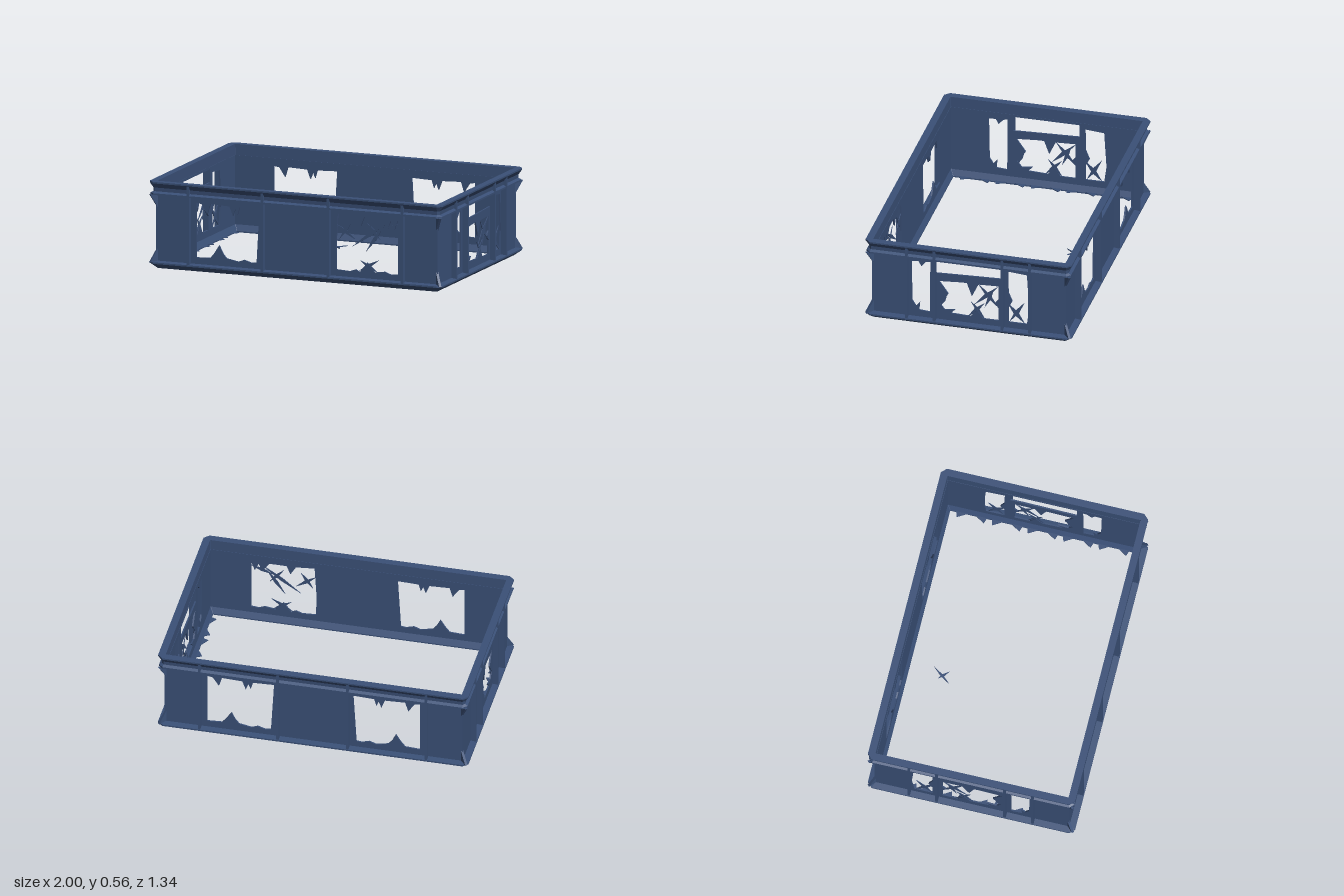
import * as THREE from 'three';

const X = 0.96, Z = 0.63; // half sizes of the wall box

// Rectangular moulding: a closed [offset, y] section swept around chamfered corners
function ringGeometry(profile) {
  const loops = profile.map(([o, y]) => {
    const a = X + o, b = Z + o, c = Math.max(0.002, o * 0.8);
    return [[-a + c, b], [a - c, b], [a, b - c], [a, -b + c],
      [a - c, -b], [-a + c, -b], [-a, -b + c], [-a, b - c]].map(([x, z]) => [x, y, z]);
  });
  const pos = [];
  loops.forEach((lo, j) => {
    const hi = loops[(j + 1) % loops.length];
    for (let i = 0; i < 8; i++) {
      const k = (i + 1) % 8;
      pos.push(...lo[i], ...lo[k], ...hi[k], ...lo[i], ...hi[k], ...hi[i]);
    }
  });
  const g = new THREE.BufferGeometry();
  g.setAttribute('position', new THREE.Float32BufferAttribute(pos, 3));
  g.computeVertexNormals();
  return g;
}

const toPoints = (pts, s) => pts.map(([u, y]) => new THREE.Vector2(u * s, y));

// Thin sliver of glass running from a to b, widest in the middle
function sliver([ax, ay, bx, by, w = 0.012]) {
  const l = Math.hypot(bx - ax, by - ay), px = -(by - ay) / l * w, py = (bx - ax) / l * w;
  const mx = (ax + bx) / 2, my = (ay + by) / 2;
  return [[ax, ay], [mx - px, my - py], [bx, by], [mx + px, my + py]];
}

// Window outlines with jagged edges
const plainWindow = [[-0.685, 0.09], [-0.59, 0.095], [-0.565, 0.125], [-0.53, 0.18], [-0.505, 0.13],
  [-0.48, 0.1], [-0.40, 0.085], [-0.36, 0.1], [-0.31, 0.085], [-0.275, 0.09], [-0.255, 0.44],
  [-0.39, 0.435], [-0.405, 0.385], [-0.42, 0.42], [-0.437, 0.375], [-0.46, 0.435], [-0.59, 0.44],
  [-0.61, 0.375], [-0.65, 0.435], [-0.685, 0.44]];
const crackedWindow = [[0.27, 0.09], [0.36, 0.085], [0.40, 0.1], [0.43, 0.085], [0.48, 0.15], [0.53, 0.09],
  [0.60, 0.1], [0.64, 0.085], [0.69, 0.09], [0.69, 0.44], [0.665, 0.375], [0.64, 0.43], [0.62, 0.375],
  [0.57, 0.44], [0.46, 0.44], [0.436, 0.38], [0.40, 0.44], [0.28, 0.45], [0.268, 0.25]];
const crackedSlivers = [[0.37, 0.24, 0.62, 0.42], [0.47, 0.22, 0.59, 0.39], [0.55, 0.36, 0.69, 0.41],
  [0.27, 0.38, 0.40, 0.29], [0.29, 0.29, 0.37, 0.40], [0.42, 0.09, 0.56, 0.17],
  [0.43, 0.16, 0.55, 0.09], [0.48, 0.40, 0.57, 0.30]];

// End wall openings, in z and y
const endHoles = [
  [[0.375, 0.44], [0.33, 0.445], [0.31, 0.41], [0.28, 0.445], [0.252, 0.45], [0.255, 0.09],
    [0.325, 0.095], [0.32, 0.15], [0.345, 0.12], [0.37, 0.16]],
  [[0.195, 0.32], [0.05, 0.33], [0.015, 0.33], [-0.018, 0.24], [-0.06, 0.33], [-0.19, 0.335],
    [-0.19, 0.24], [-0.165, 0.21], [-0.19, 0.18], [-0.19, 0.09], [-0.09, 0.09], [-0.05, 0.15],
    [-0.01, 0.095], [0.12, 0.1], [0.09, 0.13], [0.16, 0.12], [0.19, 0.16], [0.135, 0.235]],
  [[0.215, 0.375], [-0.215, 0.39], [-0.215, 0.475], [0.215, 0.475]],
  [[-0.252, 0.45], [-0.375, 0.44], [-0.39, 0.2], [-0.375, 0.09], [-0.255, 0.09], [-0.255, 0.19],
    [-0.28, 0.24], [-0.255, 0.3]],
];
const endSlivers = [[-0.03, 0.18, -0.19, 0.33, 0.014], [-0.06, 0.33, -0.19, 0.18, 0.014],
  [-0.10, 0.17, -0.16, 0.31], [0.01, 0.09, -0.10, 0.2, 0.014], [-0.01, 0.2, -0.10, 0.09],
  [0.195, 0.13, 0.14, 0.24], [-0.25, 0.22, -0.36, 0.09, 0.016], [-0.26, 0.09, -0.36, 0.24, 0.014]];

export function createModel() {
  const group = new THREE.Group();
  const blue = new THREE.MeshStandardMaterial({ color: 0x3a5077, side: THREE.DoubleSide });
  blue.name = 'slateBlue';
  blue.flatShading = true;
  const add = (name, geometry, parent = group) => {
    const m = new THREE.Mesh(geometry, blue);
    m.name = name;
    parent.add(m);
    return m;
  };

  // Wall panel with openings, loose slivers and upright fins, turned to face outwards
  function wall(name, half, dist, turn, s, holes, slivers, fins) {
    const side = new THREE.Group();
    side.name = name;
    side.rotation.y = turn;
    group.add(side);
    const shape = new THREE.Shape(toPoints([[-half, 0.03], [half, 0.03], [half, 0.49], [-half, 0.49]], 1));
    for (const h of holes) shape.holes.push(new THREE.Path(toPoints(h, s)));
    add('panel', new THREE.ExtrudeGeometry(shape, { depth: 0.01, bevelEnabled: false }), side)
      .position.z = dist - 0.01;
    if (slivers.length) {
      const shapes = slivers.map(v => new THREE.Shape(toPoints(sliver(v), s)));
      add('brokenGlass', new THREE.ExtrudeGeometry(shapes, { depth: 0.004, bevelEnabled: false }), side)
        .position.z = dist - 0.007;
    }
    for (const f of fins) for (const m of [-1, 1])
      add('fin', new THREE.BoxGeometry(0.016, 0.51, 0.036), side).position.set(f * m, 0.295, dist + 0.018);
  }

  const mirror = w => w.map(([u, y]) => [-u, y]);
  const q = Math.PI / 2;
  wall('frontWall', X, Z, 0, 1, [plainWindow, crackedWindow], crackedSlivers, [0.225, 0.73]);
  wall('backWall', X, Z, Math.PI, -1, [plainWindow, mirror(plainWindow)], [], [0.225, 0.73]);
  wall('leftWall', Z, X, q, -1, endHoles, endSlivers, [0.22, 0.4]);
  wall('rightWall', Z, X, -q, 1, endHoles, endSlivers, [0.22, 0.4]);

  // Coved top rim and sloped base moulding
  add('topRim', ringGeometry([[-0.008, 0.475], [0.034, 0.475], [0.034, 0.486], [0.016, 0.496],
    [0.018, 0.52], [0.04, 0.55], [0.04, 0.56], [-0.006, 0.56]]));
  add('baseMoulding', ringGeometry([[-0.03, 0], [-0.008, 0], [0.04, 0.034], [0.04, 0.044],
    [-0.008, 0.05], [-0.03, 0.008]]));

  // Diagonal gussets at the four corners, under the rim and over the base
  const gussets = [[[-0.01, 0.478], [-0.01, 0.39], [0.045, 0.478]], [[-0.01, 0.04], [0.045, 0.04], [-0.01, 0.13]]]
    .map(p => new THREE.Shape(toPoints(p, 1)));
  const gussetGeometry = new THREE.ExtrudeGeometry(gussets, { depth: 0.016, bevelEnabled: false });
  gussetGeometry.translate(0, 0, -0.008);
  for (const sx of [-1, 1]) for (const sz of [-1, 1]) {
    const g = add('cornerGusset', gussetGeometry);
    g.position.set(sx * X, 0, sz * Z);
    g.rotation.y = Math.atan2(-sz, sx);
  }

  // Jagged floor remains along both ends, and one loose piece on the ground
  const flat = (name, shapes, y) => {
    const g = new THREE.ExtrudeGeometry(shapes, { depth: 0.005, bevelEnabled: false });
    g.rotateX(q);
    add(name, g).position.y = y;
  };
  const teeth = [];
  for (const s of [-1, 1]) for (let i = 0; i < 10; i++) {
    const z = -0.52 + i * 0.115, lean = i % 2 ? 0.03 : -0.03;
    teeth.push(new THREE.Shape(toPoints([[0.94, z - 0.045], [0.895, z + lean], [0.94, z + 0.045]], s)));
  }
  flat('floorShards', teeth, 0.012);
  flat('looseShard', [[-0.2, -0.33, -0.11, -0.45, 0.008], [-0.18, -0.41, -0.12, -0.35, 0.008]]
    .map(v => new THREE.Shape(toPoints(sliver(v), 1))), 0.01);
  return group;
}
